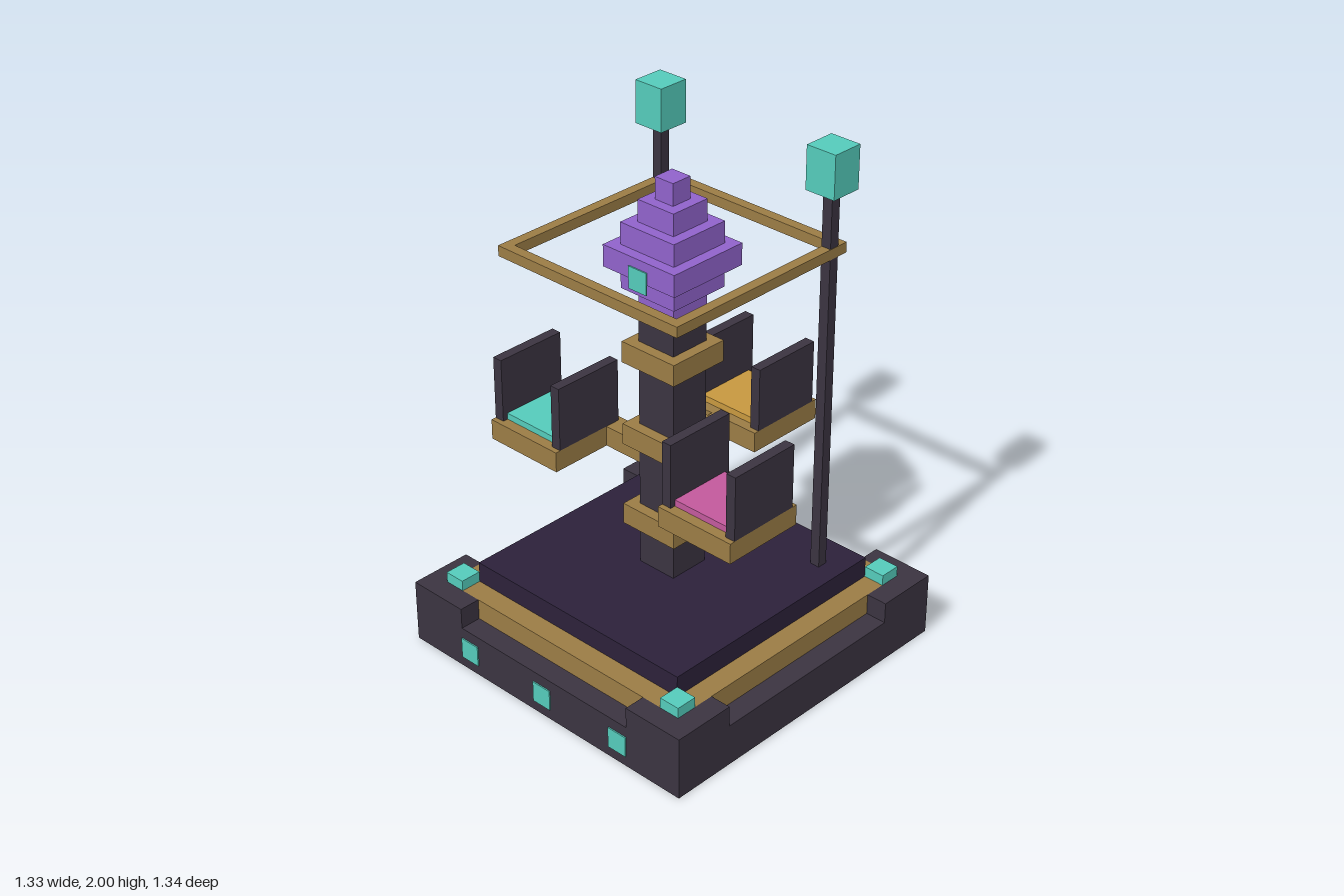
import * as THREE from 'three';

const mat = (name, color) => {
  const m = new THREE.MeshStandardMaterial({ color });
  m.name = name;
  return m;
};

export function createModel() {
  const stone = mat('dark stone', 0x3b3441);
  const bronze = mat('bronze', 0x9b7c45);
  const floorMat = mat('night purple', 0x2c213a);
  const cyan = mat('cyan glow', 0x55cbbb);
  const violet = mat('violet crystal', 0x9063cb);
  const pink = mat('pink cushion', 0xc2599c);
  const orange = mat('orange cushion', 0xc7983f);

  const model = new THREE.Group();
  model.name = 'carousel';

  // Box given by its ranges on each axis
  const box = (name, material, [x0, x1], [y0, y1], [z0, z1], parent = model) => {
    const mesh = new THREE.Mesh(new THREE.BoxGeometry(x1 - x0, y1 - y0, z1 - z0), material);
    mesh.position.set((x0 + x1) / 2, (y0 + y1) / 2, (z0 + z1) / 2);
    mesh.name = name;
    parent.add(mesh);
    return mesh;
  };
  const around = (c, half) => [c - half, c + half];
  // Square block centred on the vertical axis
  const block = (name, material, half, y, parent) =>
    box(name, material, [-half, half], y, [-half, half], parent);

  // Stepped base
  const base = new THREE.Group();
  base.name = 'base';
  model.add(base);
  block('baseSlab', stone, 0.667, [0, 0.167], base);
  block('bronzeTrim', bronze, 0.583, [0.167, 0.25], base);
  block('floor', floorMat, 0.5, [0.25, 0.333], base);

  // L-shaped corner walls with a lamp inside each
  for (const sx of [-1, 1]) for (const sz of [-1, 1]) {
    box('cornerWall', stone, around(sx * 0.542, 0.125), [0.167, 0.25], around(sz * 0.625, 0.042), base);
    box('cornerWall', stone, around(sx * 0.625, 0.042), [0.167, 0.25], around(sz * 0.5, 0.083), base);
    box('cornerLamp', cyan, around(sx * 0.542, 0.042), [0.25, 0.292], around(sz * 0.542, 0.042), base);
  }
  for (const x of [-0.375, 0, 0.375]) {
    box('frontLamp', cyan, around(x, 0.042), [0.042, 0.125], [0.667, 0.672], base);
  }

  // Central column with bronze collars
  block('column', stone, 0.083, [0.333, 1.333]);
  for (const y of [0.5, 0.835, 1.167]) block('collar', bronze, 0.125, [y, y + 0.083]);

  // Stepped crystal
  const crystal = new THREE.Group();
  crystal.name = 'crystal';
  model.add(crystal);
  [0.042, 0.083, 0.125, 0.167, 0.125, 0.083, 0.042].forEach((half, i) => {
    const y = 1.375 + (i - 1) * 0.0835;
    block('crystalStep', violet, half, [i === 0 ? 1.333 : y, y + 0.0835], crystal);
  });
  box('crystalLamp', cyan, around(0, 0.042), [1.505, 1.59], [0.167, 0.172], crystal);

  // Square ring around the crystal
  const ring = new THREE.Group();
  ring.name = 'ring';
  model.add(ring);
  for (const s of [-1, 1]) {
    box('ringBar', bronze, [-0.417, 0.417], [1.585, 1.625], around(s * 0.397, 0.02), ring);
    box('ringBar', bronze, around(s * 0.397, 0.02), [1.585, 1.625], [-0.377, 0.377], ring);
  }

  // Rear lantern posts
  for (const s of [-1, 1]) {
    box('post', stone, around(s * 0.396, 0.02), [0.333, 1.835], around(-0.354, 0.02));
    box('lantern', cyan, around(s * 0.396, 0.0625), [1.835, 2], around(-0.354, 0.0625));
  }

  // Seats: platform, cushion and two side panels
  const seat = (name, cushion, x, z) => {
    const g = new THREE.Group();
    g.name = name;
    model.add(g);
    box('platform', bronze, around(x, 0.167), [0.755, 0.835], around(z, 0.167), g);
    box('cushion', cushion, around(x, 0.127), [0.835, 0.86], around(z, 0.125), g);
    for (const s of [-1, 1]) {
      box('sidePanel', stone, around(x + s * 0.147, 0.02), [0.835, 1.085], around(z, 0.146), g);
    }
  };
  seat('rightSeat', cyan, -0.417, 0.167);
  seat('leftSeat', pink, 0.417, 0.167);
  seat('backSeat', orange, 0, -0.417);

  // Arms joining the seats to the column
  for (const s of [-1, 1]) {
    box('sideArm', bronze, around(s * 0.165, 0.085), [0.755, 0.835], [0, 0.082]);
  }
  box('backArm', bronze, [-0.042, 0.042], [0.755, 0.835], [-0.25, -0.08]);

  model.position.z = -0.0025;
  const root = new THREE.Group();
  root.add(model);
  return root;
}
